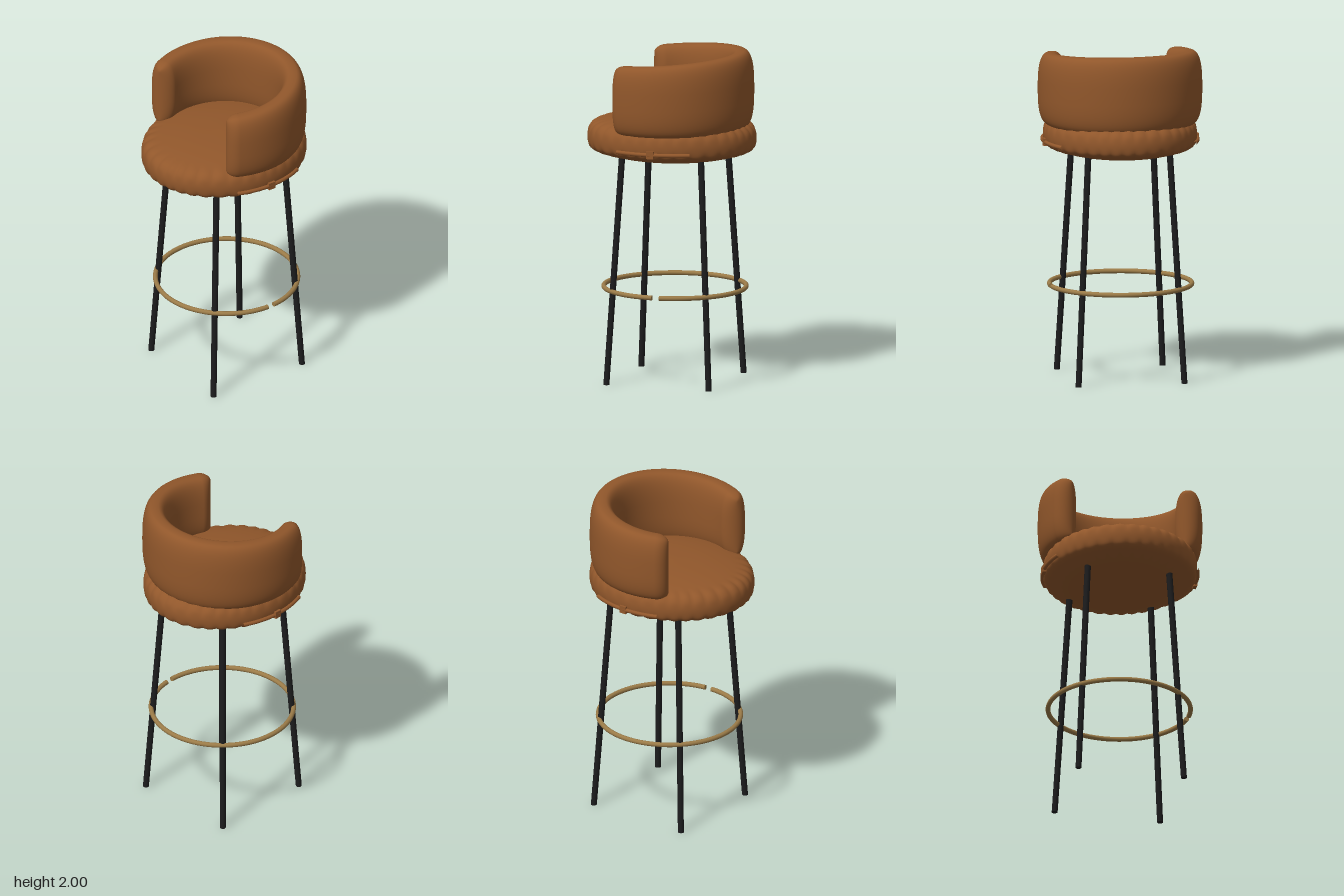
import * as THREE from 'three';
import { mergeVertices } from 'three/addons/utils/BufferGeometryUtils.js';
import { ParametricGeometry } from 'three/addons/geometries/ParametricGeometry.js';

const leather = new THREE.MeshStandardMaterial({ name: 'tan leather', color: 0x91572b });
const blackMetal = new THREE.MeshStandardMaterial({ name: 'black metal', color: 0x1c1c1d });
const brass = new THREE.MeshStandardMaterial({ name: 'brass', color: 0x9b7b48 });

const SEAT_X = 0.458, SEAT_Z = 0.51, LEG_Z = -0.019;
const DEG = Math.PI / 180;

function addMesh(parent, name, geometry, material) {
  const mesh = new THREE.Mesh(geometry, material);
  mesh.name = name;
  parent.add(mesh);
  return mesh;
}

// weld seams so normals run smoothly across them
function smooth(geometry) {
  geometry.deleteAttribute('uv');
  geometry.deleteAttribute('normal');
  const welded = mergeVertices(geometry, 1e-4);
  welded.computeVertexNormals();
  return welded;
}

// domed oval cushion with gathered pleats around its rim
function seatGeometry() {
  const profile = new THREE.SplineCurve([
    [0, 1.34], [0.35, 1.345], [0.65, 1.362], [0.86, 1.388], [0.96, 1.41], [0.995, 1.44],
    [1, 1.49], [0.97, 1.535], [0.89, 1.566], [0.7, 1.588], [0.4, 1.605], [0, 1.613],
  ].map(([r, y]) => new THREE.Vector2(r, y))).getPoints(48);
  profile.forEach((p) => { p.x = Math.max(p.x, 0); });
  const geometry = new THREE.LatheGeometry(profile, 216);
  const pos = geometry.attributes.position;
  for (let i = 0; i < pos.count; i++) {
    const x = pos.getX(i), y = pos.getY(i), z = pos.getZ(i);
    const r = Math.hypot(x, z), a = Math.atan2(z, x);
    const edge = THREE.MathUtils.smoothstep(r, 0.78, 0.93) * THREE.MathUtils.smoothstep(Math.abs(y - 1.475), 0.01, 0.06);
    const pleat = Math.abs(Math.sin(a * 18 + 0.5 * Math.sin(a * 5))) - 0.6;
    const k = 1 + 0.008 * edge * pleat;
    pos.setXYZ(i, x * k * SEAT_X, y + Math.sign(y - 1.475) * 0.007 * edge * pleat, z * k * SEAT_Z);
  }
  return smooth(geometry);
}

// padded horseshoe: a rounded section swept around the seat, closing at both arm ends
function backGeometry() {
  const R = 0.415, halfWidth = 0.077, bottom = 1.535;
  const start = -33.5, end = 213.5, cap = 10;
  const power = (v, e) => Math.sign(v) * Math.abs(v) ** e;
  return smooth(new ParametricGeometry((u, v, target) => {
    // spend a fifth of the rows on each rounded end
    let deg, s = 0;
    if (v < 0.2) { s = Math.cos(v / 0.2 * Math.PI / 2); deg = start + cap * (1 - s); }
    else if (v > 0.8) { s = Math.cos((1 - v) / 0.2 * Math.PI / 2); deg = end - cap * (1 - s); }
    else deg = THREE.MathUtils.mapLinear(v, 0.2, 0.8, start + cap, end - cap);
    const t = deg * DEG, p = -u * Math.PI * 2;
    const full = Math.sqrt(Math.max(0, 1 - s * s));
    const z = -R * Math.sin(t);
    const top = 2.0 - 0.078 * (z + R);
    const halfHeight = (top - bottom) / 2 * (0.8 + 0.2 * full);
    const r = R + halfWidth * full * power(Math.cos(p), 0.68);
    const y = (top + bottom) / 2 + halfHeight * power(Math.sin(p), 0.72);
    target.set(r * Math.cos(t), y, -r * Math.sin(t));
  }, 48, 110));
}

export function createModel() {
  const model = new THREE.Group();
  model.name = 'barStool';

  addMesh(model, 'seatCushion', seatGeometry(), leather);
  addMesh(model, 'wraparoundBack', backGeometry(), leather);

  // short piping strip with a small tab on each side of the seat
  for (const side of [1, -1]) {
    const points = [];
    for (let d = -29; d <= 29; d += 5.8) {
      points.push(new THREE.Vector3(side * (SEAT_X + 0.004) * Math.cos(d * DEG), 1.438, (SEAT_Z + 0.004) * Math.sin(d * DEG)));
    }
    addMesh(model, 'sidePiping', new THREE.TubeGeometry(new THREE.CatmullRomCurve3(points), 40, 0.012, 10), leather);
    addMesh(model, 'pipingTab', new THREE.BoxGeometry(0.022, 0.045, 0.045), leather)
      .position.set(side * 0.462, 1.438, -0.02);
  }

  // four splayed legs, cut level at the floor
  for (const sx of [1, -1]) {
    for (const sz of [1, -1]) {
      const height = 1.4, topOffset = 0.248, footOffset = 0.323;
      const leg = new THREE.CylinderGeometry(0.019, 0.018, height, 20);
      const pos = leg.attributes.position;
      for (let i = 0; i < pos.count; i++) {
        const y = pos.getY(i) + height / 2;
        const o = THREE.MathUtils.lerp(footOffset, topOffset, y / height);
        pos.setXYZ(i, pos.getX(i) + sx * o, y, pos.getZ(i) + sz * o + LEG_Z);
      }
      leg.computeVertexNormals();
      addMesh(model, sz > 0 ? 'frontLeg' : 'backLeg', leg, blackMetal);
    }
  }

  // foot ring, open by a narrow slot on one side
  const footRing = new THREE.Group();
  footRing.name = 'footRing';
  footRing.position.set(0, 0.565, LEG_Z);
  const ringR = 0.426, tube = 0.0145, gap = 6 * DEG;
  const ring = new THREE.TorusGeometry(ringR, tube, 14, 120, Math.PI * 2 - gap);
  ring.rotateX(-Math.PI / 2).rotateY(gap);
  addMesh(footRing, 'ringBar', ring, brass);
  for (const [a, turn] of [[gap, Math.PI], [0, 0]]) {
    // discs that close the bar at the slot
    const disc = new THREE.CircleGeometry(tube, 14);
    disc.rotateY(Math.PI + turn).translate(ringR, 0, 0).rotateY(a);
    addMesh(footRing, 'ringEnd', disc, brass);
  }
  model.add(footRing);

  return model;
}
